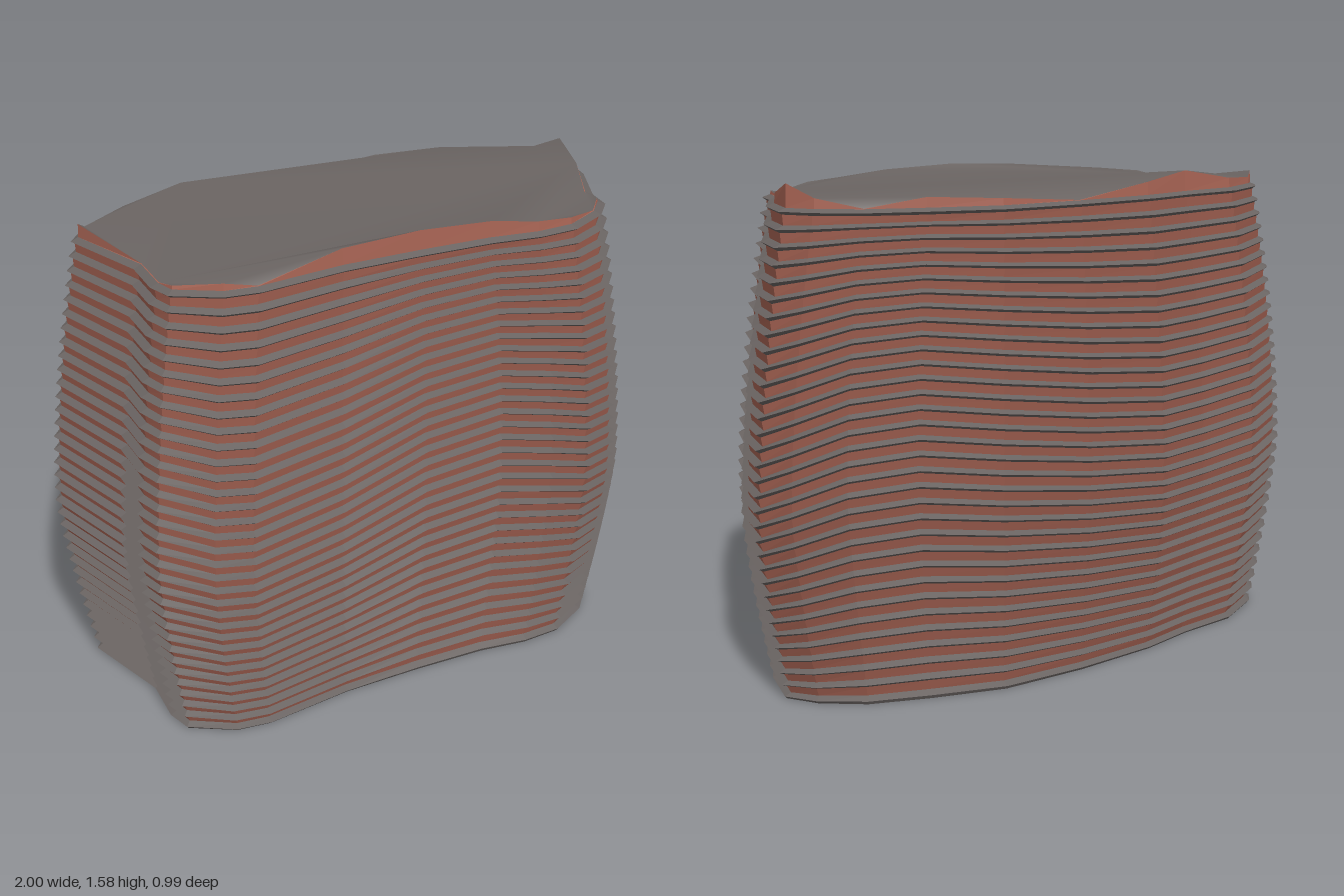
import * as THREE from 'three';
import { mergeVertices } from 'three/addons/utils/BufferGeometryUtils.js';

// Plan outline at the widest level: x, z, wave height of the courses, rim rise
const OUTLINE = [
  [-1.0, -0.235, 0, 0.04], [-0.9, 0.1, -0.01, 0], [-0.91, 0.27, 0, 0], [-0.885, 0.36, 0, 0.01],
  [-0.735, 0.455, -0.045, 0.02], [-0.61, 0.475, -0.06, 0], [-0.29, 0.445, -0.03, 0.05], [0, 0.45, 0.06, 0.06],
  [0.27, 0.465, 0.09, 0.05], [0.45, 0.495, 0.055, 0.03], [0.6, 0.49, 0.01, 0.02], [0.755, 0.415, -0.02, 0],
  [0.835, 0.33, -0.015, 0.01], [0.855, 0.225, -0.04, 0], [0.96, 0.02, -0.05, 0.03], [0.997, -0.16, -0.045, 0.07],
  [0.925, -0.26, 0, 0.03], [0.785, -0.36, 0.065, 0], [0.58, -0.43, 0.085, 0.03], [0.32, -0.5, 0.05, 0.02],
  [0, -0.5, 0, 0], [-0.32, -0.47, -0.04, 0.04], [-0.53, -0.42, -0.04, 0.065], [-0.77, -0.39, -0.02, 0.03],
  [-0.955, -0.29, 0, 0.02],
];
const N = OUTLINE.length, COURSES = 32, HEIGHT = 1.49, LEDGE = 0.024;

// Outward direction at each outline point
const NORMALS = OUTLINE.map((_, i) => {
  const a = OUTLINE[(i + N - 1) % N], b = OUTLINE[(i + 1) % N];
  return new THREE.Vector2(-(b[1] - a[1]), b[0] - a[0]).normalize();
});

// Bulge of the whole block: widest at y = 0.6
const swell = y => y > 0.6
  ? 1 - 0.12 * Math.pow((y - 0.6) / 0.9, 1.6)
  : 1 - 0.09 * Math.pow((0.6 - y) / 0.6, 1.3);

// One closed ring of points at a nominal height
function ring(y, inset, rim = 0) {
  const wave = Math.pow(Math.sin(Math.PI * Math.min(y / HEIGHT, 1)), 0.85), s = swell(y);
  return OUTLINE.map(([x, z, d, rise], i) => new THREE.Vector3(
    x * s - NORMALS[i].x * inset,
    y + d * wave + rise * rim,
    z * s - NORMALS[i].y * inset));
}

// Side faces between a lower and an upper ring
function addBand(out, low, high) {
  for (let i = 0; i < N; i++) {
    const j = (i + 1) % N;
    out.push(low[i], low[j], high[j], low[i], high[j], high[i]);
  }
}

// Fill of a ring, facing up or down
function addCap(out, points, up) {
  const flat = points.map(p => new THREE.Vector2(p.x, p.z));
  for (const t of THREE.ShapeUtils.triangulateShape(flat, [])) {
    let [a, b, c] = t.map(k => points[k]);
    const ny = (b.z - a.z) * (c.x - a.x) - (b.x - a.x) * (c.z - a.z);
    if ((ny > 0) !== up) [b, c] = [c, b];
    out.push(a, b, c);
  }
}

function makeMesh(name, points, color, flatShading) {
  const geometry = mergeVertices(new THREE.BufferGeometry().setFromPoints(points));
  geometry.computeVertexNormals();
  const mesh = new THREE.Mesh(geometry, new THREE.MeshStandardMaterial({
    color, flatShading, side: THREE.DoubleSide }));
  mesh.name = name;
  return mesh;
}

export function createModel() {
  const ledges = [], walls = [], caps = [];
  const step = HEIGHT / COURSES;

  // Each course: a pointed ledge with a set-back wall that leans out above it
  for (let k = 0; k <= COURSES; k++) {
    const y = k * step, last = k === COURSES;
    const foot = ring(y, k ? LEDGE * 0.65 : 0.006);
    const tip = ring(y + step * 0.2, 0);
    const back = ring(y + step * 0.4, LEDGE);
    // The top course ends in a low uneven rim
    const head = last ? ring(y + step * 0.42, LEDGE * 1.1, 1) : ring(y + step, LEDGE * 0.65);
    addBand(ledges, foot, tip);
    addBand(ledges, tip, back);
    addBand(walls, back, head);
    if (k === 0) addCap(caps, foot, false);
    if (last) addCap(caps, head, true);
  }

  const group = new THREE.Group();
  group.name = 'layeredBlock';
  group.add(
    makeMesh('ledges', ledges, 0x6a6462, true),
    makeMesh('walls', walls, 0xa86454, true),
    makeMesh('topAndBase', caps, 0x6a6462, false));
  return group;
}
